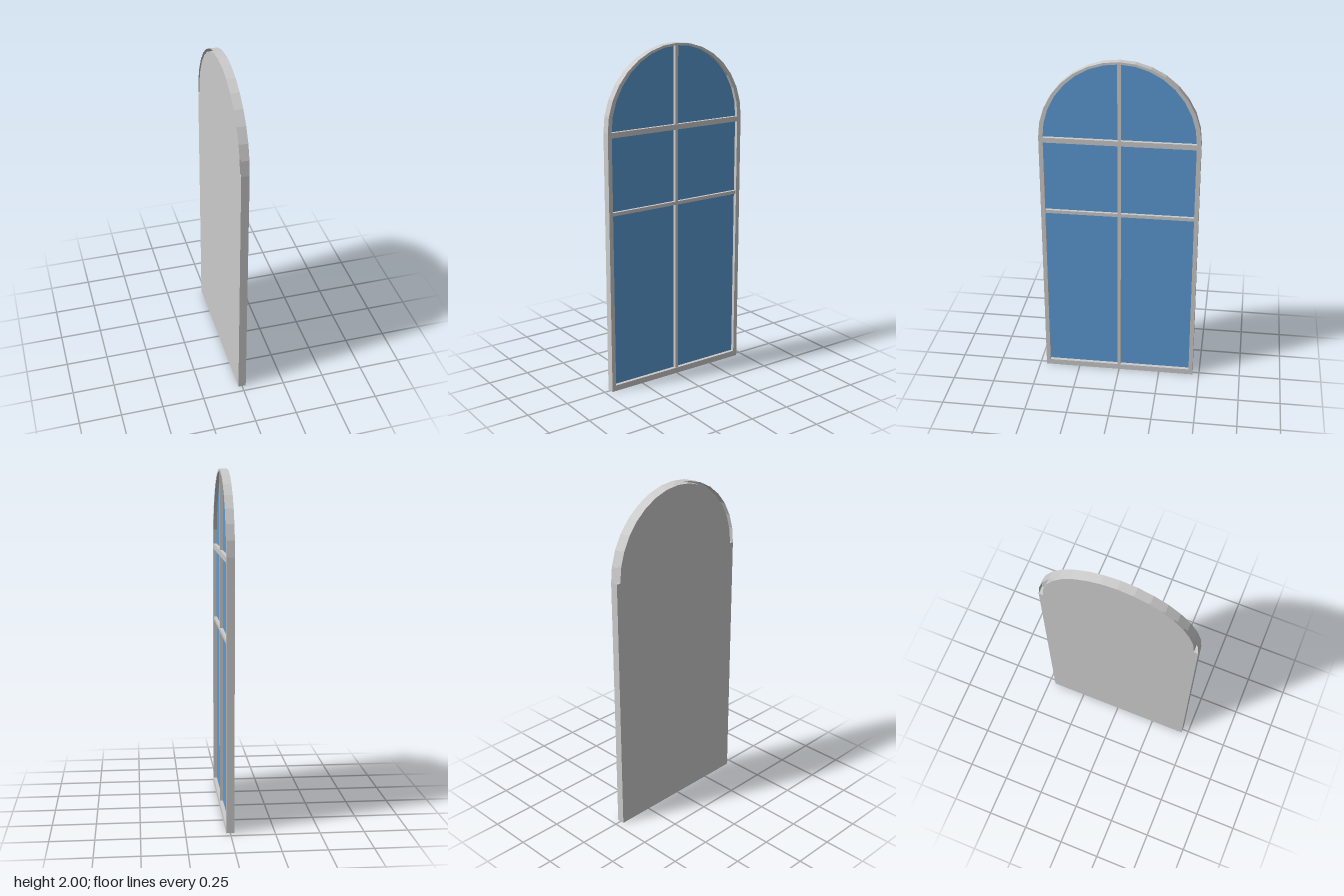
import * as THREE from 'three';

const HALF = 0.46;      // outer half width, also the arch radius
const IN = 0.435;       // inner half width
const RISE = 0.447;     // inner height of the arch
const SPRING = 1.54;    // height where the arch starts
const DEPTH = 0.023;    // half depth of the frame
const GLASS_X = 0.002;
const SEGS = 16;

const grey = new THREE.MeshStandardMaterial({ color: 0xcccccc, flatShading: true, side: THREE.DoubleSide });
const blue = new THREE.MeshStandardMaterial({ color: 0x5b9bd5, side: THREE.DoubleSide });

// Arched opening outline, drawn across the width and up
function openingShape(bottom) {
  const shape = new THREE.Shape();
  shape.moveTo(-IN, bottom);
  shape.lineTo(IN, bottom);
  for (let i = 0; i <= SEGS; i++) {
    const a = (i / SEGS) * Math.PI;
    shape.lineTo(IN * Math.cos(a), SPRING + RISE * Math.sin(a));
  }
  shape.closePath();
  return shape;
}

// Arch moulding: outer wall, face and inner wall, open at the back
function archGeometry() {
  const profile = [[-DEPTH, HALF, HALF], [DEPTH, HALF, HALF], [DEPTH, IN, RISE], [0, IN, RISE]];
  const positions = [];
  const index = [];
  for (let i = 0; i <= SEGS; i++) {
    const a = (i / SEGS) * Math.PI;
    for (const [x, rz, ry] of profile) positions.push(x, SPRING + ry * Math.sin(a), rz * Math.cos(a));
  }
  const n = profile.length;
  for (let i = 0; i < SEGS; i++) {
    for (let j = 0; j < n - 1; j++) {
      const p = i * n + j;
      index.push(p, p + 1, p + n, p + 1, p + n + 1, p + n);
    }
  }
  const indexed = new THREE.BufferGeometry();
  indexed.setAttribute('position', new THREE.Float32BufferAttribute(positions, 3));
  indexed.setIndex(index);
  const geometry = indexed.toNonIndexed();
  geometry.computeVertexNormals();
  return geometry;
}

export function createModel() {
  const group = new THREE.Group();

  function add(name, geometry, material = grey) {
    const mesh = new THREE.Mesh(geometry, material);
    mesh.name = name;
    group.add(mesh);
    return mesh;
  }

  // Bar given by its extents in x, y and z
  function bar(name, x0, x1, y0, y1, z0, z1) {
    add(name, new THREE.BoxGeometry(x1 - x0, y1 - y0, z1 - z0))
      .position.set((x0 + x1) / 2, (y0 + y1) / 2, (z0 + z1) / 2);
  }

  // Outer frame
  add('archFrame', archGeometry());
  bar('frontSideFrame', -DEPTH, DEPTH, 0, SPRING, IN, HALF);
  bar('rearSideFrame', -DEPTH, DEPTH, 0, SPRING, -HALF, -IN);
  bar('sill', -DEPTH, DEPTH, 0, 0.035, -IN, IN);

  // Solid backing and the glass on its face
  const backing = new THREE.ExtrudeGeometry(openingShape(0.035), { depth: DEPTH, bevelEnabled: false });
  backing.rotateY(Math.PI / 2).translate(-DEPTH, 0, 0);
  add('backPanel', backing);
  const glass = new THREE.ShapeGeometry(openingShape(0.035));
  glass.rotateY(Math.PI / 2).translate(GLASS_X, 0, 0);
  add('glass', glass, blue);

  // Glazing bars
  bar('transom', 0, DEPTH, 1.51, SPRING, -IN, IN);
  bar('crossBar', 0, 0.02, 1.065, 1.085, -IN, IN);
  bar('mullion', 0, 0.0195, 0.035, 1.988, -0.01, 0.01);

  return group;
}
